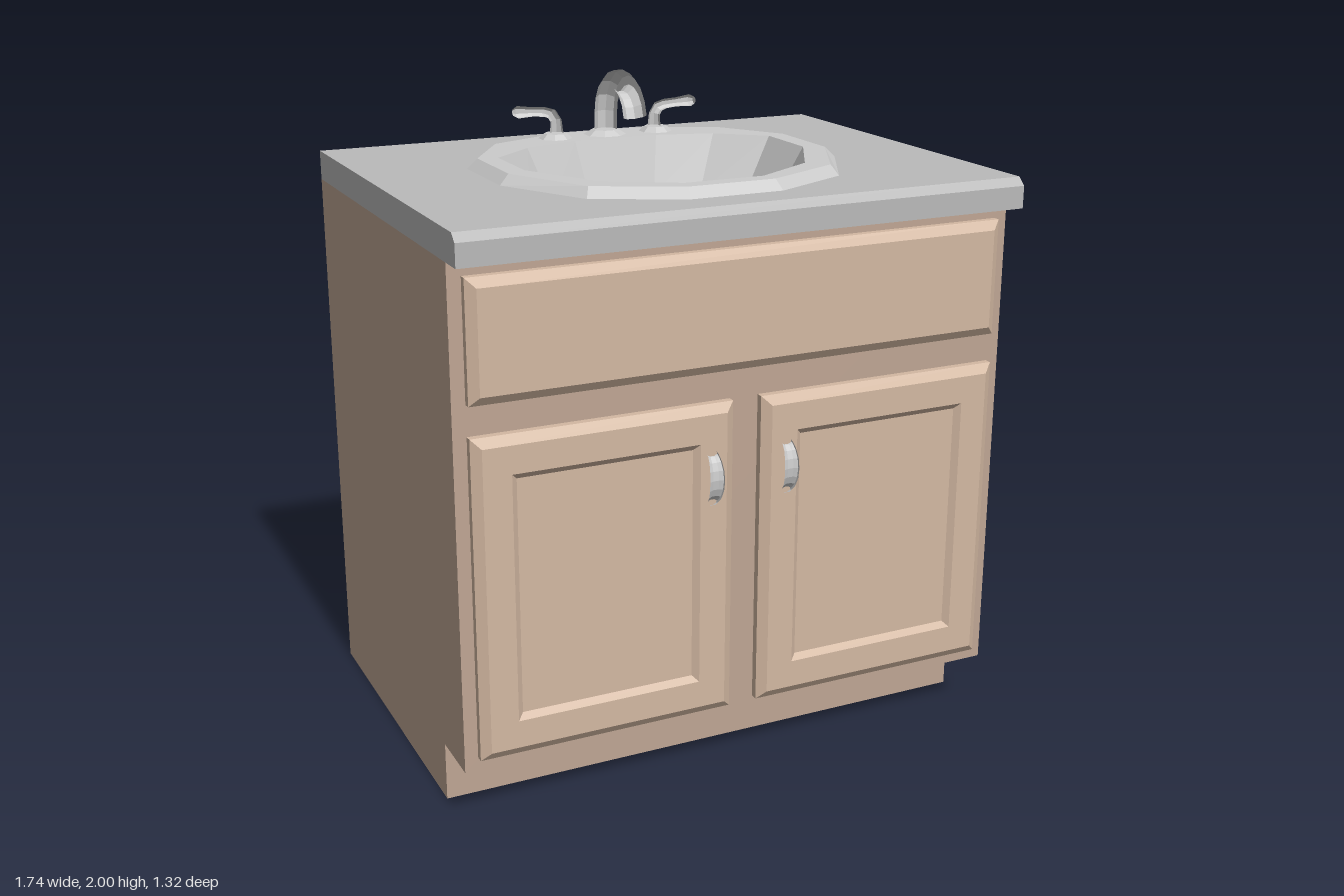
import * as THREE from 'three';

const WOOD = 0xbfa694, DOOR = 0xd3b8a2, STONE = 0xbababa, GREY = 0xcccccc;

function mesh(name, geometry, color = GREY, side = THREE.FrontSide) {
  const m = new THREE.Mesh(geometry, new THREE.MeshStandardMaterial({ color, side, flatShading: true }));
  m.name = name;
  return m;
}

// Skin through rings of [x, y, z] points, optionally closed round and capped at the last ring
function loft(rings, closed = true, cap = false) {
  const pos = [];
  const n = rings[0].length;
  for (let r = 0; r < rings.length - 1; r++) {
    const a = rings[r], b = rings[r + 1];
    for (let i = 0; i < (closed ? n : n - 1); i++) {
      const j = (i + 1) % n;
      pos.push(...a[i], ...a[j], ...b[j], ...a[i], ...b[j], ...b[i]);
    }
  }
  if (cap) {
    const e = rings[rings.length - 1];
    for (let i = 1; i < n - 1; i++) pos.push(...e[0], ...e[i], ...e[i + 1]);
  }
  const g = new THREE.BufferGeometry();
  g.setAttribute('position', new THREE.Float32BufferAttribute(pos, 3));
  g.computeVertexNormals();
  return g;
}

// Stepped rectangular front: each step is [inset, z]
function panel(x0, x1, y0, y1, steps) {
  return loft(steps.map(([d, z]) => [
    [x0 + d, y0 + d, z], [x1 - d, y0 + d, z], [x1 - d, y1 - d, z], [x0 + d, y1 - d, z],
  ]), true, true);
}

// Round bar along a list of points with a radius for each, ends closed
function bar(points, radii, sides = 8) {
  const curve = new THREE.CurvePath();
  const p = points.map((v) => new THREE.Vector3(...v));
  for (let i = 1; i < p.length; i++) curve.add(new THREE.LineCurve3(p[i - 1], p[i]));
  const normal = new THREE.Vector3(), side = new THREE.Vector3();
  // the path lies in a plane, so its plane normal is constant
  side.crossVectors(p[1].clone().sub(p[0]), p[p.length - 1].clone().sub(p[0])).normalize();
  const rings = p.map((c, i) => {
    const t = p[Math.min(i + 1, p.length - 1)].clone().sub(p[Math.max(i - 1, 0)]).normalize();
    normal.crossVectors(t, side);
    return Array.from({ length: sides }, (_, k) => {
      const a = ((k + 0.5) / sides) * Math.PI * 2;
      return c.clone().addScaledVector(normal, -Math.cos(a) * radii[i])
        .addScaledVector(side, -Math.sin(a) * radii[i]).toArray();
    });
  });
  rings.unshift(rings[0].map(() => points[0]));
  rings.push(rings[rings.length - 1].map(() => points[points.length - 1]));
  return loft(rings);
}

// Oval ring from its +x half, listed front to back as [x, z]
function oval(half) {
  return [...half, ...half.slice().reverse().map(([x, z]) => [-x, z])];
}

function shapeOf(points) {
  return new THREE.Shape(points.map(([x, y]) => new THREE.Vector2(x, y)));
}

export function createModel() {
  const model = new THREE.Group();
  model.name = 'sinkCabinet';
  const W = 0.87;

  // Cabinet shell with toe recess, open at the top under the counter
  const profile = [[0.57, 1.66], [0.57, 0.18], [0.39, 0.18], [0.39, 0], [-0.66, 0], [-0.66, 1.66]];
  const shell = [W, -W].map((x) => profile.map(([z, y]) => [x, y, z]));
  model.add(mesh('cabinetShell', loft(shell, false), WOOD, THREE.DoubleSide));
  for (const x of [-W, W]) {
    const g = new THREE.ShapeGeometry(shapeOf(profile)).rotateY(-Math.PI / 2).translate(x, 0, 0);
    model.add(mesh('cabinetSide', g, WOOD, THREE.DoubleSide));
  }

  // False drawer front and the two recessed doors
  const edge = [[0, 0.565], [0, 0.592], [0.027, 0.612]];
  model.add(mesh('drawerFront', panel(-0.83, 0.83, 1.27, 1.62, edge), DOOR));
  for (const s of [-1, 1]) {
    const [x0, x1] = s < 0 ? [-0.83, -0.045] : [0.045, 0.83];
    const steps = [...edge, [0.11, 0.612], [0.128, 0.597]];
    model.add(mesh('door', panel(x0, x1, 0.22, 1.18, steps), DOOR));

    // Arched pull, widest at the middle
    const N = 8, pts = [], rad = [];
    for (let i = 0; i <= N; i++) {
      const a = (i / N) * Math.PI;
      pts.push([0, 0.965 - Math.cos(a) * 0.077, 0.603 + Math.sin(a) * 0.046]);
      rad.push(0.009);
    }
    const g = bar(pts, rad);
    const p = g.attributes.position;
    for (let i = 0; i < p.count; i++) {
      const t = Math.min(1, Math.abs(p.getY(i) - 0.965) / 0.086);
      p.setX(i, p.getX(i) * (1.5 + 1.1 * (1 - t * t)));
    }
    g.translate(s * 0.12, 0, 0).computeVertexNormals();
    model.add(mesh('doorPull', g));
  }

  // Sink outlines
  const outer = oval([[0.145, 0.515], [0.4, 0.39], [0.55, 0.11], [0.55, -0.175], [0.4, -0.4], [0.145, -0.51]]);
  const rim = oval([[0.135, 0.487], [0.385, 0.365], [0.52, 0.1], [0.52, -0.165], [0.385, -0.38], [0.135, -0.483]]);
  const mouth = oval([[0.125, 0.435], [0.33, 0.31], [0.46, 0.07], [0.46, -0.15], [0.32, -0.27], [0.14, -0.32]]);
  const drain = oval([15, 45, 75, 105, 135, 165].map((d) => {
    const a = THREE.MathUtils.degToRad(d);
    return [Math.sin(a) * 0.06, -0.06 + Math.cos(a) * 0.06];
  }));

  // Countertop slab with cut-out, and its bevelled front nosing
  const slab = shapeOf([[-W, -0.57], [W, -0.57], [W, 0.66], [-W, 0.66]]);
  slab.holes.push(new THREE.Path(rim.map(([x, z]) => new THREE.Vector2(x, -z))));
  const slabGeo = new THREE.ExtrudeGeometry(slab, { depth: 0.09, bevelEnabled: false });
  model.add(mesh('countertop', slabGeo.rotateX(-Math.PI / 2).translate(0, 1.66, 0), STONE));
  const nose = shapeOf([[0.57, 1.66], [0.65, 1.66], [0.65, 1.727], [0.625, 1.75], [0.57, 1.75]]);
  const noseGeo = new THREE.ExtrudeGeometry(nose, { depth: 2 * W, bevelEnabled: false });
  model.add(mesh('counterNosing', noseGeo.rotateY(-Math.PI / 2).translate(W, 0, 0), STONE));

  // Sink rim and bowl narrowing to an open drain
  const at = (ring, y) => ring.map(([x, z]) => [x, y, z]);
  const bowl = [[0, 1.78], [0.23, 1.6], [0.45, 1.5], [0.7, 1.45], [1, 1.43]].map(([f, y]) =>
    at(mouth.map(([x, z], i) => [x + (drain[i][0] - x) * f, z + (drain[i][1] - z) * f]), y));
  model.add(mesh('sink', loft([at(outer, 1.75), at(rim, 1.78), ...bowl]), GREY, THREE.DoubleSide));

  // Gooseneck spout on a flared base
  const faucet = new THREE.Group();
  faucet.name = 'faucet';
  const neck = [[0, 1.775, -0.4]];
  for (let i = 0; i <= 8; i++) {
    const a = Math.PI * (1 - (i / 8) * 0.95);
    neck.push([0, 1.85 + Math.sin(a) * 0.115, -0.285 + Math.cos(a) * 0.115]);
  }
  faucet.add(mesh('spout', bar(neck, neck.map(() => 0.036))));
  const flange = (r0, r1, x, z) =>
    new THREE.CylinderGeometry(r1, r0, 0.018, 8).rotateY(Math.PI / 8).translate(x, 1.787, z);
  faucet.add(mesh('spoutBase', flange(0.072, 0.042, 0, -0.41)));

  // Lever taps either side
  for (const s of [-1, 1]) {
    faucet.add(mesh('tapBase', flange(0.056, 0.036, s * 0.175, -0.4)));
    const path = [[0.17, 1.785], [0.172, 1.835], [0.186, 1.857], [0.21, 1.865], [0.25, 1.868], [0.3, 1.87], [0.315, 1.87]];
    const radii = [0.022, 0.018, 0.018, 0.016, 0.015, 0.02, 0.011];
    faucet.add(mesh('tapLever', bar(path.map(([x, y]) => [s * x, y, -0.4]), radii)));
  }
  model.add(faucet);
  return model;
}
